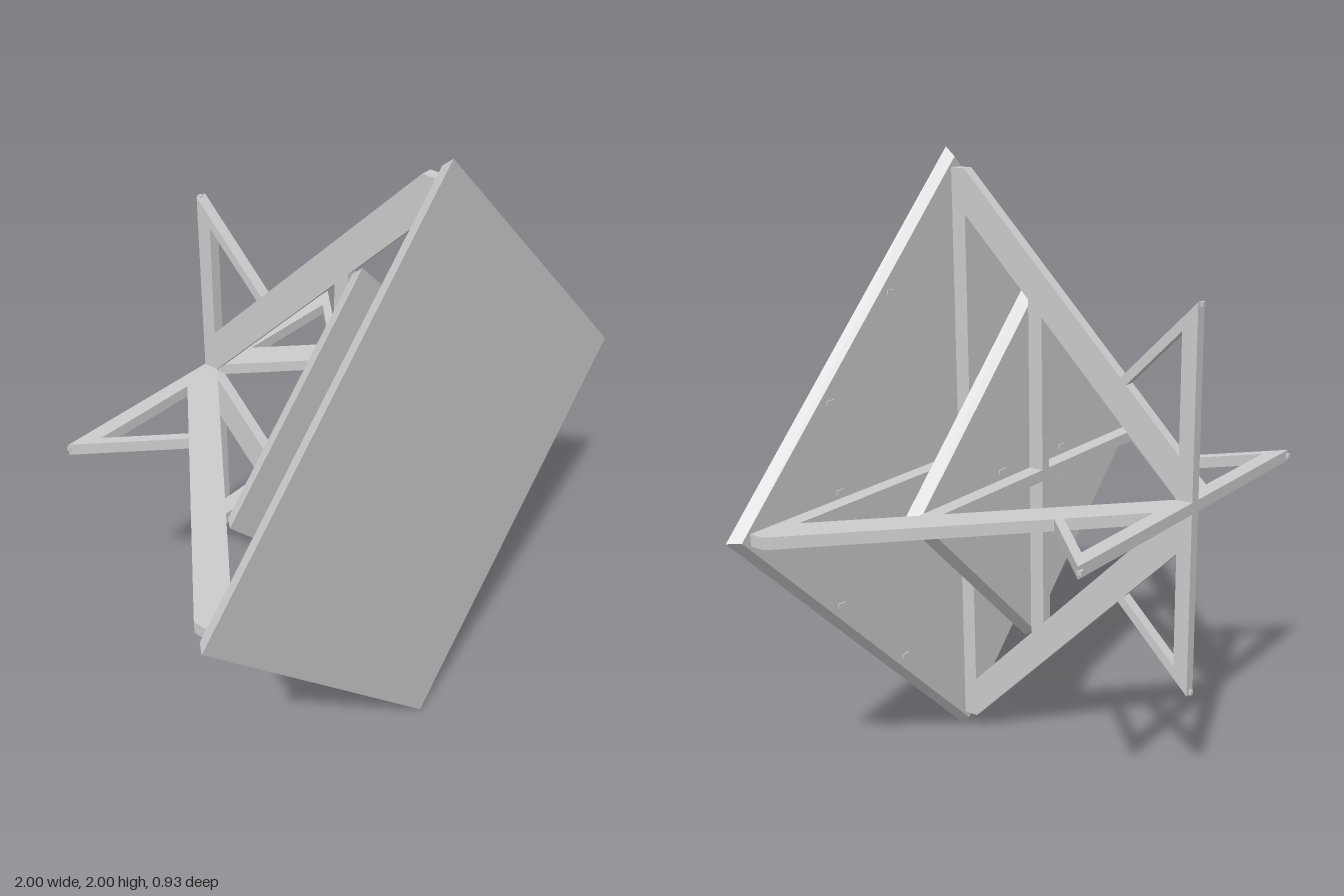
import * as THREE from 'three';

const mat = new THREE.MeshStandardMaterial({ color: 0xcccccc, flatShading: true });
const CY = 1; // height of the central axis

function add(parent, name, geo, x = 0, y = 0, z = 0) {
  const m = new THREE.Mesh(geo, mat);
  m.name = name;
  m.position.set(x, y, z);
  parent.add(m);
}

// Diamond plate with bevelled rim, wider at the front
function plate(rFront, rBack, depth) {
  return new THREE.CylinderGeometry(rFront, rBack, depth, 4).rotateX(Math.PI / 2);
}

const pts = (list) => list.map(([x, y]) => new THREE.Vector2(x, y));

// Flat truss in the (radius, z) plane, with cut-outs between its bars
function trussGeometry(t) {
  // Outline and cut-outs run counter-clockwise so all walls face outwards
  const half = [[0.62, -0.455], [0.3625, -0.1975], [0.94, 0.38], [0.94, 0.43]];
  const mirrored = half.map(([x, y]) => [-x, y]).reverse();
  const shape = new THREE.Shape(pts([...half, ...mirrored]));
  const holes = [
    [[-0.8, 0.38], [-0.56, 0.14], [0.56, 0.14], [0.8, 0.38]],
    [[-0.51, 0.09], [0, -0.42], [0.51, 0.09]],
    [[0.155, -0.405], [0.53, -0.405], [0.3425, -0.2175]],
    [[-0.155, -0.405], [-0.3425, -0.2175], [-0.53, -0.405]],
  ];
  for (const h of holes) shape.holes.push(new THREE.Path(pts(h).reverse()));
  const geo = new THREE.ExtrudeGeometry(shape, { depth: t, bevelEnabled: false });
  return geo.translate(0, 0, -t / 2).rotateX(Math.PI / 2);
}

export function createModel() {
  const model = new THREE.Group();
  model.name = 'trussBackedPanel';

  // Front panel and smaller inner plate
  add(model, 'frontPanel', plate(1, 0.972, 0.034), 0, CY, 0.447);
  add(model, 'innerPlate', plate(0.585, 0.555, 0.035), 0, CY, 0.16);

  // Two crossed trusses, each with a small pin at its rear arm tips
  for (const [name, angle] of [['horizontalTruss', 0], ['verticalTruss', Math.PI / 2]]) {
    const truss = new THREE.Group();
    truss.name = name;
    truss.position.y = CY;
    truss.rotation.z = angle;
    add(truss, 'trussFrame', trussGeometry(0.037));
    for (const s of [1, -1]) {
      add(truss, 'tipPin', new THREE.BoxGeometry(0.014, 0.014, 0.014), s * 0.612, 0, -0.457);
    }
    model.add(truss);
  }

  // Small flush fixing tabs on the back of the panel and the inner plate
  const tab = new THREE.BoxGeometry(0.03, 0.014, 0.006);
  for (const sx of [1, -1]) {
    for (const sy of [1, -1]) {
      for (const [x, y] of [[0.6, 0.32], [0.32, 0.6], [0.58, 0.04]]) {
        add(model, 'panelTab', tab, sx * x, CY + sy * y, 0.429);
      }
      add(model, 'plateTab', tab, sx * 0.16, CY + sy * 0.045, 0.1415);
    }
  }
  return model;
}
